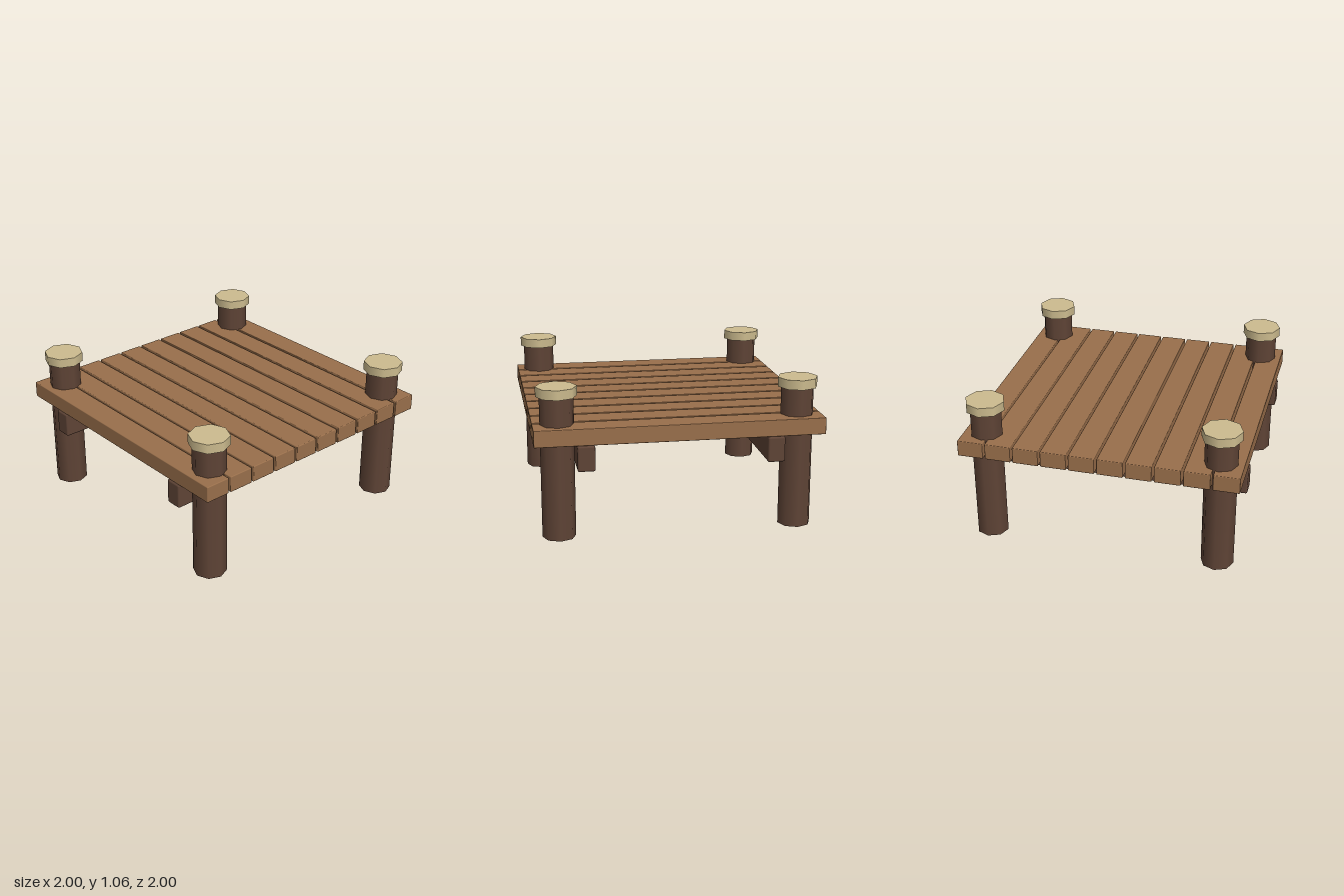
import * as THREE from 'three';
import { RoundedBoxGeometry } from 'three/addons/geometries/RoundedBoxGeometry.js';

const material = (color) => new THREE.MeshStandardMaterial({ color });

export function createModel() {
  const model = new THREE.Group();
  model.name = 'woodenDock';

  const plankWood = material(0x996f4b);
  const darkWood = material(0x5f4436);
  const capWood = material(0xcdbc8f);

  const add = (name, geometry, mat, x, y, z) => {
    const mesh = new THREE.Mesh(geometry, mat);
    mesh.name = name;
    mesh.position.set(x, y, z);
    model.add(mesh);
  };

  // Deck: ten planks running left to right with narrow gaps
  const plank = new RoundedBoxGeometry(2, 0.117, 0.184, 2, 0.006);
  for (let i = 0; i < 10; i++) add('plank', plank, plankWood, 0, 0.742, -0.9 + i * 0.2);

  // Two beams running front to back under the deck
  const beam = new RoundedBoxGeometry(0.12, 0.178, 2, 2, 0.013);
  // Eight-sided posts through the corners, each with a wider cap
  const post = new THREE.CylinderGeometry(0.116, 0.116, 1, 8);
  const cap = new THREE.CylinderGeometry(0.14, 0.14, 0.067, 8);
  for (const sx of [-1, 1]) {
    add('beam', beam, darkWood, sx * 0.652, 0.593, 0);
    for (const sz of [-1, 1]) {
      add('post', post, darkWood, sx * 0.832, 0.5, sz * 0.832);
      add('postCap', cap, capWood, sx * 0.832, 1.028, sz * 0.832);
    }
  }
  return model;
}
